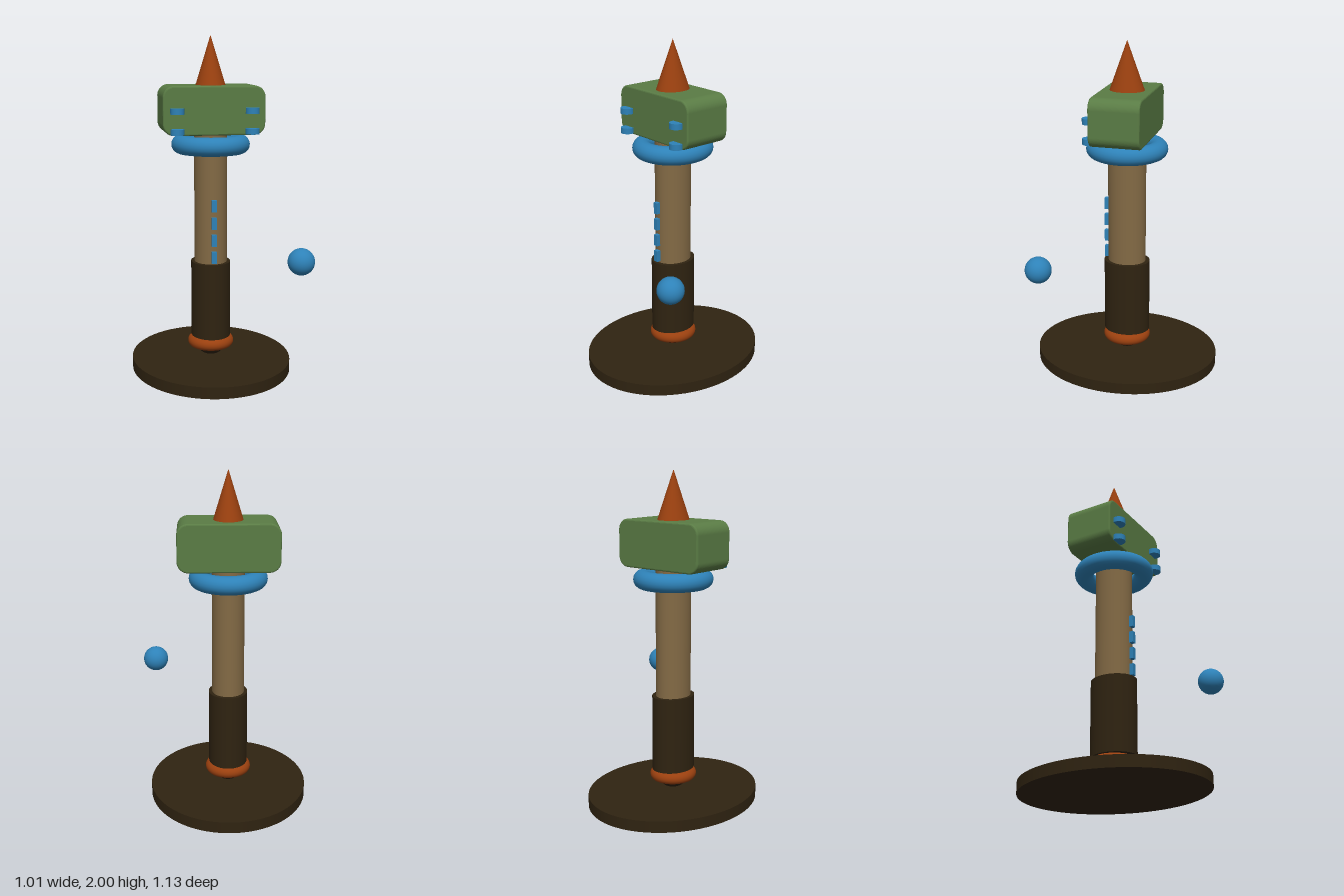
import * as THREE from 'three';

const mat = (name, color) => {
  const m = new THREE.MeshStandardMaterial({ color });
  m.name = name;
  return m;
};

export function createModel() {
  const darkWood = mat('dark brown', 0x2f2311);
  const tan = mat('tan', 0x836a45);
  const rust = mat('rust orange', 0x9a400f);
  const blue = mat('blue', 0x2e82b8);
  const green = mat('moss green', 0x5a7c45);

  const model = new THREE.Group();
  model.name = 'hammer';
  const hammer = new THREE.Group(); // everything on the main axis
  hammer.name = 'hammerOnStand';
  hammer.position.x = -0.03;
  model.add(hammer);

  const add = (name, geo, material, x, y, z, parent = hammer) => {
    const mesh = new THREE.Mesh(geo, material);
    mesh.name = name;
    mesh.position.set(x, y, z);
    parent.add(mesh);
    return mesh;
  };
  // Upright elliptical cylinder or cone from y0 to y1
  const column = (name, rTop, rBottom, y0, y1, material, depth = 1.18) =>
    add(name, new THREE.CylinderGeometry(rTop, rBottom, y1 - y0, 64).scale(1, 1, depth),
      material, 0, (y0 + y1) / 2, 0);
  // Horizontal ring
  const ring = (name, radius, tube, y, material) =>
    add(name, new THREE.TorusGeometry(radius, tube, 20, 64).rotateX(Math.PI / 2).scale(1, 1, 1.045),
      material, 0, y, 0);

  // Stand, pommel and handle
  column('base', 0.477, 0.477, 0, 0.068, darkWood);
  add('pommel', new THREE.SphereGeometry(0.1, 32, 24).scale(1, 1, 1.08), darkWood, 0, 0.174, 0);
  ring('pommelRing', 0.102, 0.036, 0.161, rust);
  column('grip', 0.117, 0.117, 0.2, 0.66, darkWood, 1.195);
  column('shaft', 0.097, 0.097, 0.64, 1.44, tan);
  ring('collarRing', 0.177, 0.055, 1.366, blue);

  // Inlaid marks up the front of the shaft
  for (let i = 0; i < 4; i++) {
    add('shaftMark', new THREE.BoxGeometry(0.028, 0.07, 0.038), blue, 0, 0.705 + i * 0.1025, 0.119);
  }

  // Head: rounded rectangle extruded along z with a fine bevel
  const bevel = 0.01, w = 0.298 - bevel, h = 0.142 - bevel, r = 0.055;
  const outline = new THREE.Shape();
  outline.absarc(w - r, h - r, r, 0, Math.PI / 2);
  outline.absarc(-w + r, h - r, r, Math.PI / 2, Math.PI);
  outline.absarc(-w + r, -h + r, r, Math.PI, Math.PI * 1.5);
  outline.absarc(w - r, -h + r, r, Math.PI * 1.5, Math.PI * 2);
  outline.closePath();
  const depth = 0.3 - 2 * bevel;
  const headGeo = new THREE.ExtrudeGeometry(outline, {
    depth, bevelSize: bevel, bevelThickness: bevel, bevelSegments: 3, curveSegments: 10,
  }).translate(0, 0, -depth / 2);
  add('head', headGeo, green, 0, 1.571, 0);

  // Small upright discs on the front of the head
  for (const x of [-0.218, 0.218]) {
    for (const y of [1.453, 1.571]) {
      add('headStud', new THREE.CylinderGeometry(0.04, 0.04, 0.034, 20), blue, x, y, 0.164);
    }
  }

  // Spike on top
  add('spike', new THREE.ConeGeometry(0.088, 0.29, 48).scale(1, 1, 1.18), rust, 0, 1.855, 0);

  // Floating orb beside the shaft
  add('orb', new THREE.SphereGeometry(0.078, 32, 24), blue, 0.424, 0.729, 0.408, model);

  return model;
}
